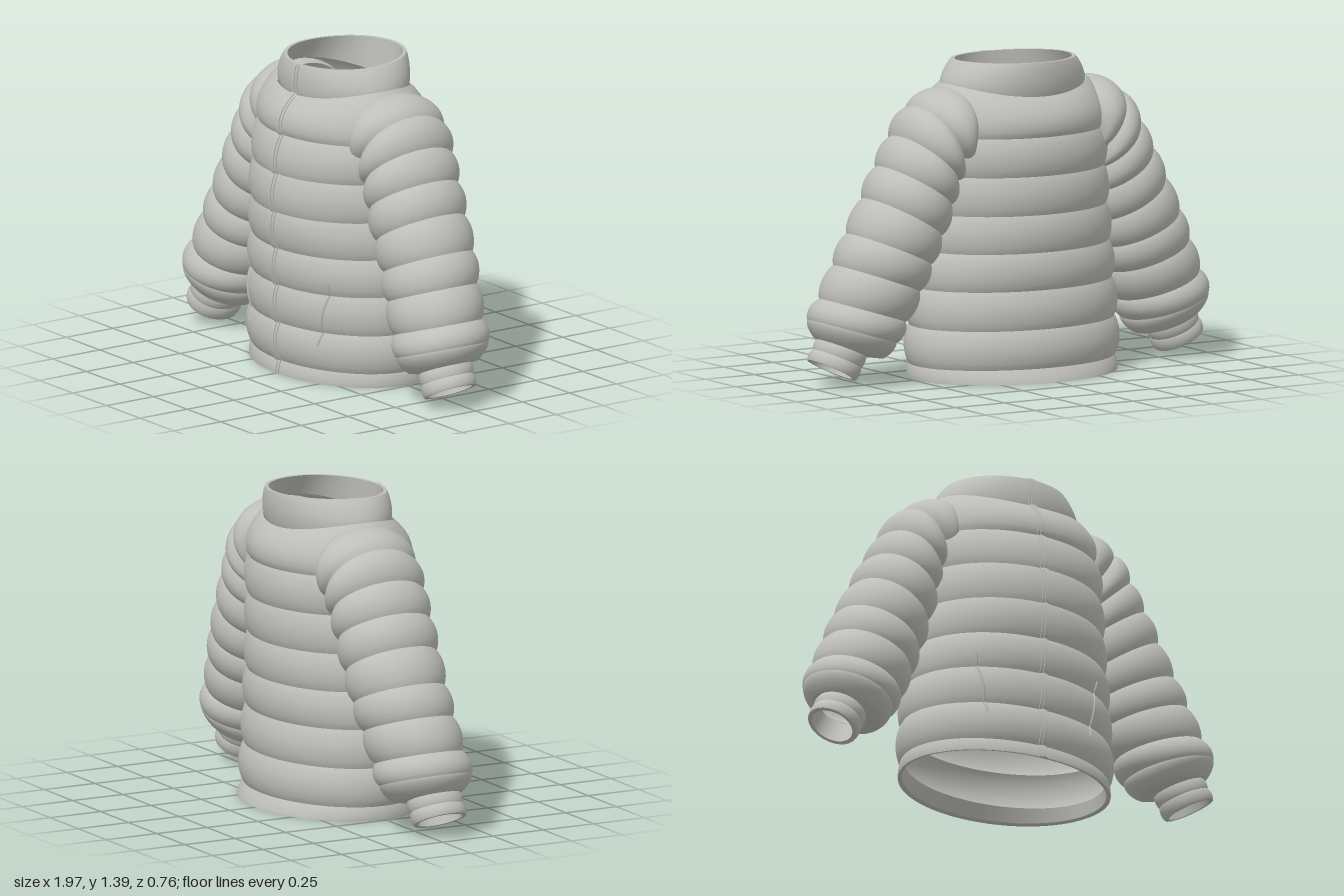
import * as THREE from 'three';

const SEGMENTS = 72;
const STEPS = 12;
const mix = (a, b, t) => a + (b - a) * t;

// Skin a list of closed cross-sections (arrays of [x, y, z]) into a smooth band
function loft(rings) {
  const n = rings[0].length;
  const index = [];
  for (let j = 0; j < rings.length - 1; j++) {
    for (let i = 0; i < n; i++) {
      const k = (i + 1) % n;
      const a = j * n + i, b = a + n, c = j * n + k, d = c + n;
      index.push(a, b, c, c, b, d);
    }
  }
  const geo = new THREE.BufferGeometry();
  geo.setAttribute('position', new THREE.Float32BufferAttribute(rings.flat(2), 3));
  geo.setIndex(index);
  geo.computeVertexNormals();
  return geo;
}

// Blend two number rows; the sine swell gives the padded bulge between seams
function puffRows(a, b, bulge, swell) {
  const rows = [];
  for (let j = 0; j <= STEPS; j++) {
    const t = j / STEPS;
    const s = bulge * Math.pow(Math.max(0, Math.sin(Math.PI * t)), 0.75);
    rows.push(swell(a.map((v, i) => mix(v, b[i], t)), s));
  }
  return rows;
}

function around(fn) {
  return Array.from({ length: SEGMENTS }, (_, i) => fn((i / SEGMENTS) * Math.PI * 2));
}

// Torso row: [y, half width, front depth, back depth, side lift, back lift]
const swellTorso = ([y, w, f, b, l, k], s) => [y, w + s, f + s, b + s, l, k];
const torsoRing = ([y, w, f, b, lift, back]) => around((a) => {
  const c = Math.cos(a), s = Math.sin(a);
  return [w * c, y + lift * c * c + back * (1 - s) / 2, s * (s > 0 ? f : b)];
});

// Sleeve row: [outer x, outer y, inner x, inner y, centre z, half depth]
const swellSleeve = ([ox, oy, ix, iy, z, d], s) => {
  const len = Math.hypot(ox - ix, oy - iy);
  const dx = ((ox - ix) / len) * s, dy = ((oy - iy) / len) * s;
  return [ox + dx, oy + dy, ix - dx, iy - dy, z, d + s];
};
const sleeveRing = ([ox, oy, ix, iy, z, d], side) => around((a) => {
  const c = Math.cos(a), s = Math.sin(a);
  return [
    side * ((ox + ix) / 2 + ((ox - ix) / 2) * c),
    (oy + iy) / 2 + ((oy - iy) / 2) * c,
    z - side * d * s,
  ];
});

// Each entry: [row at the seam, bulge of the band that follows]
const HEM = [
  [[0.065, 0.462, 0.315, 0.322, 0, 0], 0],
  [[0.005, 0.47, 0.328, 0.355, 0, 0], 0],
  [[0.0, 0.488, 0.346, 0.376, 0, 0], 0.004],
  [[0.06, 0.482, 0.333, 0.342, 0, 0], 0],
];
const TORSO = [
  [[0.06, 0.482, 0.333, 0.342, 0, 0], 0.023],
  [[0.23, 0.48, 0.338, 0.336, 0, 0], 0.02],
  [[0.40, 0.468, 0.343, 0.326, 0, 0], 0.02],
  [[0.565, 0.452, 0.348, 0.328, 0, 0], 0.018],
  [[0.73, 0.438, 0.36, 0.328, 0, 0], 0.018],
  [[0.90, 0.43, 0.35, 0.33, 0, 0], 0.02],
  [[1.07, 0.425, 0.32, 0.33, 0, 0], 0.036],
  [[1.24, 0.34, 0.25, 0.275, 0.05, 0], 0],
];
const COLLAR = [
  [[1.235, 0.335, 0.24, 0.27, 0.05, 0], 0.01],
  [[1.373, 0.274, 0.235, 0.287, 0, 0.018], 0],
  [[1.373, 0.258, 0.22, 0.272, 0, 0.018], 0],
  [[1.24, 0.31, 0.222, 0.252, 0.05, 0], 0],
];
const SLEEVE = [
  [[0.31, 1.26, 0.30, 1.00, -0.03, 0.19], 0.04],
  [[0.50, 1.205, 0.33, 0.93, -0.03, 0.205], 0.028],
  [[0.585, 1.08, 0.345, 0.86, -0.025, 0.21], 0.022],
  [[0.66, 0.95, 0.365, 0.76, -0.02, 0.207], 0.022],
  [[0.73, 0.815, 0.41, 0.63, -0.015, 0.204], 0.02],
  [[0.81, 0.665, 0.455, 0.51, -0.01, 0.2], 0.02],
  [[0.87, 0.53, 0.50, 0.395, 0.005, 0.195], 0.02],
  [[0.935, 0.385, 0.56, 0.265, 0.02, 0.19], 0.018],
  [[0.985, 0.295, 0.605, 0.175, 0.03, 0.203], 0.012],
  [[0.955, 0.212, 0.66, 0.108, 0.035, 0.15], 0],
  [[0.935, 0.205, 0.735, 0.118, 0.045, 0.117], 0],
];
const CUFF = [
  [[0.938, 0.212, 0.735, 0.118, 0.045, 0.117], 0.005],
  [[0.96, 0.165, 0.758, 0.07, 0.05, 0.117], 0.006],
  [[0.985, 0.12, 0.785, 0.018, 0.052, 0.117], 0],
  [[0.968, 0.112, 0.802, 0.027, 0.052, 0.1], 0],
  [[0.925, 0.2, 0.75, 0.125, 0.045, 0.1], 0],
];

// Vertical strip of given width following the front profile
function frontStrip(profile, width, out) {
  const pts = [
    ...profile.map(([y, z]) => new THREE.Vector2(z + out, y)),
    ...profile.slice().reverse().map(([y, z]) => new THREE.Vector2(z - 0.008, y)),
  ];
  const geo = new THREE.ExtrudeGeometry(new THREE.Shape(pts), { depth: width, bevelEnabled: false });
  geo.rotateY(-Math.PI / 2);
  return geo.translate(width / 2, 0, 0);
}

export function createModel() {
  const jacket = new THREE.Group();
  jacket.name = 'pufferJacket';
  const fabric = new THREE.MeshStandardMaterial({ color: 0xbfbfba, side: THREE.DoubleSide });
  fabric.name = 'greyFabric';

  const addMesh = (parent, name, geo) => {
    const mesh = new THREE.Mesh(geo, fabric);
    mesh.name = name;
    parent.add(mesh);
  };
  const addGroup = (name) => {
    const group = new THREE.Group();
    group.name = name;
    jacket.add(group);
    return group;
  };
  // One separately shaded band between each pair of seams; returns the blended rows
  const addBands = (parent, name, seams, swell, toRing) => {
    const all = [];
    for (let i = 0; i < seams.length - 1; i++) {
      const rows = puffRows(seams[i][0], seams[i + 1][0], seams[i][1], swell);
      addMesh(parent, name + (i + 1), loft(rows.map(toRing)));
      all.push(rows);
    }
    return all;
  };

  // Torso with hem and standing collar
  const torso = addGroup('torso');
  const hemRows = addBands(torso, 'hemBand', HEM, swellTorso, torsoRing);
  const bodyRows = addBands(torso, 'torsoPuff', TORSO, swellTorso, torsoRing).flat();
  const collarRows = addBands(addGroup('collar'), 'collarBand', COLLAR, swellTorso, torsoRing);

  // Front zip: flat tape with a raised row of teeth
  const profile = [...hemRows[2], ...bodyRows, ...collarRows[0]]
    .map((r) => [r[0], r[2]])
    .filter((p, i, list) => i === 0 || p[0] > list[i - 1][0] + 0.001);
  const zip = addGroup('frontZip');
  addMesh(zip, 'zipTape', frontStrip(profile, 0.04, 0.005));
  addMesh(zip, 'zipTeeth', frontStrip(profile, 0.014, 0.011));

  for (const side of [1, -1]) {
    const label = side > 0 ? 'left' : 'right';

    // Sleeve and cuff
    const sleeve = addGroup(label + 'Sleeve');
    const ring = (row) => sleeveRing(row, side);
    addBands(sleeve, 'sleevePuff', SLEEVE, swellSleeve, ring);
    addBands(sleeve, 'cuffBand', CUFF, swellSleeve, ring);

    // Slanted pocket zip lying on the torso surface
    const path = bodyRows
      .filter((r) => r[0] > 0.16 && r[0] < 0.46)
      .filter((r, i, list) => i === 0 || r[0] > list[i - 1][0] + 0.001)
      .map(([y, w, f]) => {
        const x = mix(0.25, 0.3, (y - 0.16) / 0.3);
        return new THREE.Vector3(side * x, y, f * Math.sqrt(1 - (x / w) ** 2));
      });
    const curve = new THREE.CatmullRomCurve3(path);
    addMesh(jacket, label + 'PocketZip', new THREE.TubeGeometry(curve, 40, 0.006, 6));
  }
  return jacket;
}
